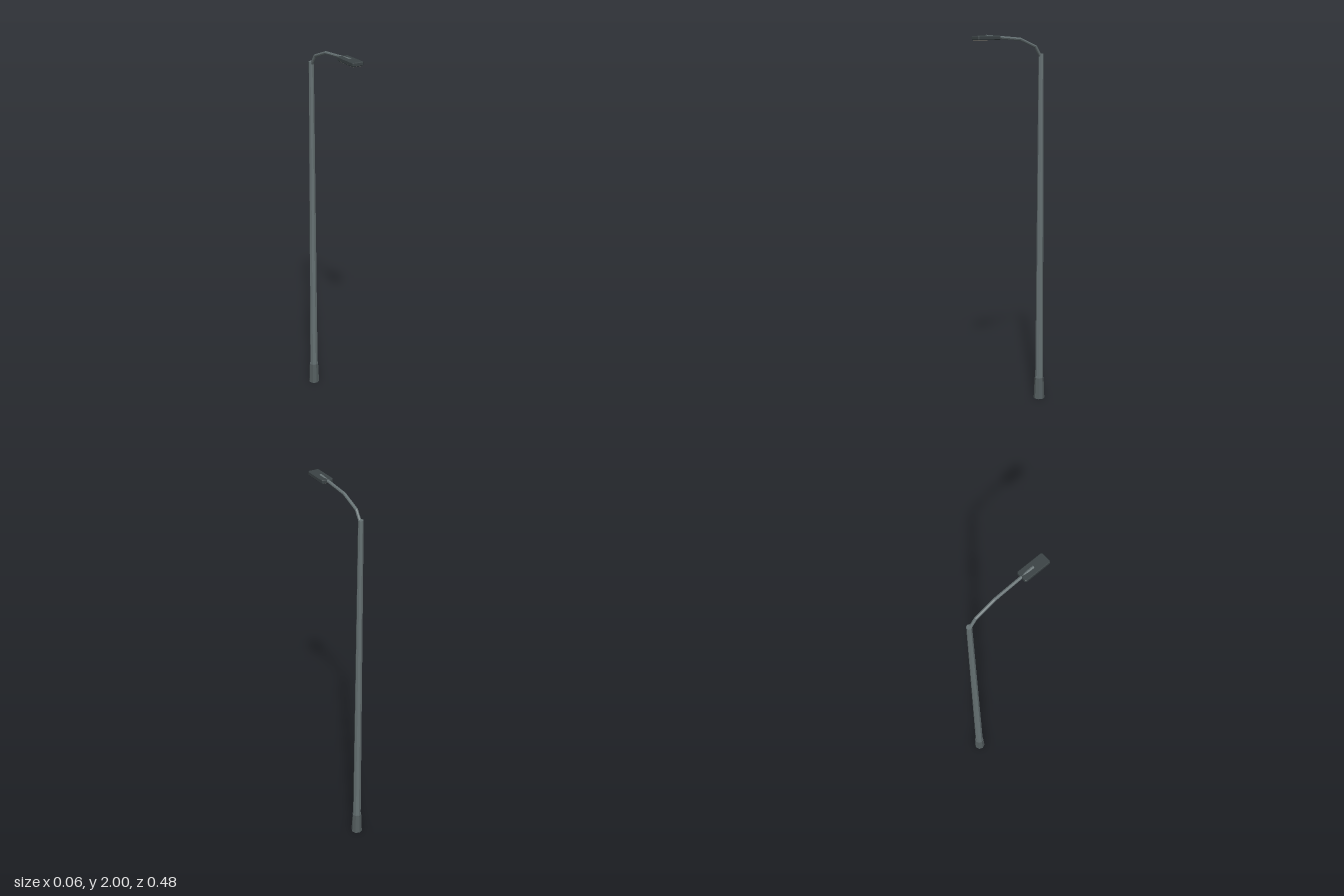
import * as THREE from 'three';

const POLE_Z = -0.21;

function material(color) {
  return new THREE.MeshStandardMaterial({ color, flatShading: true });
}

function add(group, name, geometry, mat, y, z) {
  const mesh = new THREE.Mesh(geometry, mat);
  mesh.name = name;
  mesh.position.set(0, y, z);
  group.add(mesh);
  return mesh;
}

// Bends an eight-sided cylinder along [y, z] points, mitring each joint.
function bentArm(points, radius) {
  const rows = points.length - 1;
  const geometry = new THREE.CylinderGeometry(radius, radius, 1, 8, rows);
  const p = geometry.attributes.position;
  for (let i = 0; i < p.count; i++) {
    const k = Math.round((p.getY(i) + 0.5) * rows);
    const unit = (a, b) => new THREE.Vector2(b[0] - a[0], b[1] - a[1]).normalize();
    const before = unit(points[Math.max(k - 1, 0)], points[Math.max(k, 1)]);
    const after = unit(points[Math.min(k, rows - 1)], points[Math.min(k + 1, rows)]);
    const t = before.clone().add(after).normalize();
    const w = p.getZ(i) / t.dot(before);
    p.setXYZ(i, p.getX(i), points[k][0] - t.y * w, points[k][1] + t.x * w);
  }
  geometry.computeVertexNormals();
  return geometry;
}

// Flat slab with cut corners and bevelled edges, lying in the xz plane.
function slab(width, length, height, cut, bevel) {
  const x = width / 2 - bevel, y = length / 2 - bevel;
  const shape = new THREE.Shape([
    [x - cut, -y], [x, -y + cut], [x, y - cut], [x - cut, y],
    [-x + cut, y], [-x, y - cut], [-x, -y + cut], [-x + cut, -y],
  ].map(([a, b]) => new THREE.Vector2(a, b)));
  const geometry = new THREE.ExtrudeGeometry(shape, {
    depth: height - 2 * bevel, bevelEnabled: bevel > 0,
    bevelThickness: bevel, bevelSize: bevel, bevelSegments: 1,
  });
  geometry.rotateX(-Math.PI / 2);
  return geometry.center();
}

export function createModel() {
  const group = new THREE.Group();
  group.name = 'streetLamp';
  const steel = material(0x667173);
  const dark = material(0x3b4345);
  const glass = material(0x8a8375);

  // Footing and tapered pole
  add(group, 'base', new THREE.CylinderGeometry(0.025, 0.03, 0.12, 8), material(0x555e60), 0.06, POLE_Z);
  add(group, 'pole', new THREE.CylinderGeometry(0.0135, 0.022, 1.79, 8), steel, 1.005, POLE_Z);

  // Arm curving forward from the pole top
  const path = [[1.885, -0.207], [1.937, -0.17], [1.976, -0.063], [1.992, 0.163]];
  add(group, 'arm', bentArm(path, 0.008), steel, 0, 0);

  // Lamp head with the lens on its underside
  add(group, 'lampHead', slab(0.06, 0.147, 0.02, 0.004, 0.003), dark, 1.985, 0.164);
  add(group, 'lens', slab(0.05, 0.135, 0.004, 0.003, 0), glass, 1.9755, 0.164);

  return group;
}
